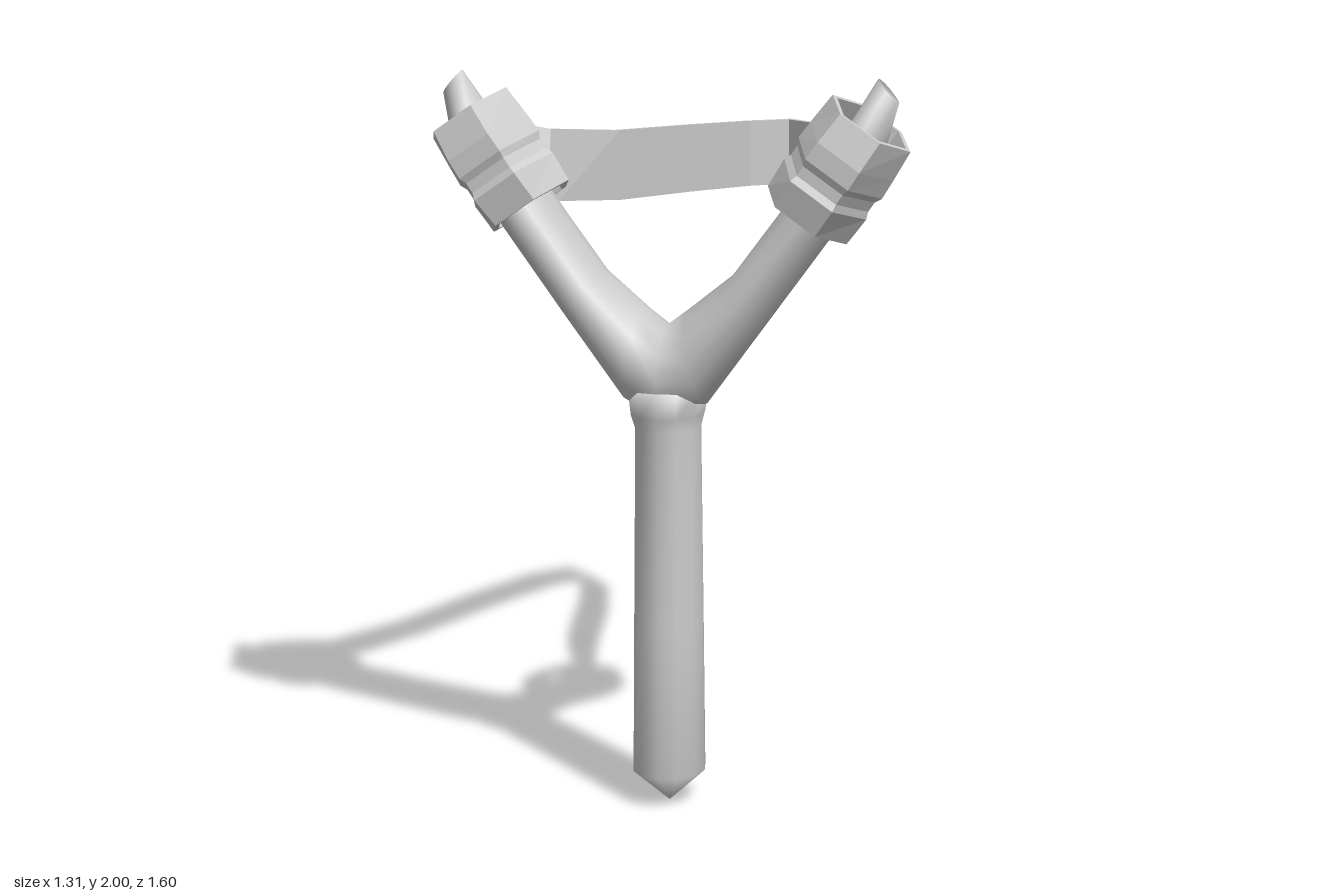
import * as THREE from 'three';

const ZC = 0.635; // depth of the frame

// Skin a list of rings (arrays of Vector3, equal length); optionally close the ends
function loft(rings, { capped = false, loop = false } = {}) {
  const n = rings[0].length, pos = [], idx = [];
  rings.forEach(r => r.forEach(p => pos.push(p.x, p.y, p.z)));
  const last = loop ? rings.length : rings.length - 1;
  for (let i = 0; i < last; i++) {
    for (let j = 0; j < n; j++) {
      const k = (j + 1) % n, m = (i + 1) % rings.length;
      const a = i * n + j, b = i * n + k, c = m * n + j, d = m * n + k;
      idx.push(a, c, b, b, c, d);
    }
  }
  if (capped) {
    const e = (rings.length - 1) * n;
    for (let j = 1; j < n - 1; j++) idx.push(0, j, j + 1, e, e + j + 1, e + j);
  }
  const g = new THREE.BufferGeometry();
  g.setAttribute('position', new THREE.Float32BufferAttribute(pos, 3));
  g.setIndex(idx);
  g.computeVertexNormals();
  return g;
}

// Elliptical ring around (cx, cy) with in-plane radius vector (ux, uy) and depth radius h
function ring(cx, cy, ux, uy, h, n) {
  return Array.from({ length: n }, (_, j) => {
    const t = (j / n) * Math.PI * 2, c = Math.cos(t);
    return new THREE.Vector3(cx + ux * c, cy + uy * c, ZC + h * Math.sin(t));
  });
}

function addMesh(group, name, geometry, options = {}) {
  const mesh = new THREE.Mesh(geometry, new THREE.MeshStandardMaterial({ color: 0xcccccc, ...options }));
  mesh.name = name;
  group.add(mesh);
}

export function createModel() {
  const model = new THREE.Group();
  model.name = 'slingshot';

  // Handle: y, half width, half depth
  const handle = [
    [0, 0.002, 0.002], [0.09, 0.1, 0.117], [0.5, 0.096, 0.112], [1.05, 0.09, 0.105],
    [1.09, 0.1, 0.13], [1.16, 0.11, 0.13],
  ].map(([y, w, h]) => ring(0, y, w, 0, h, 12));
  addMesh(model, 'handle', loft(handle, { capped: true }));

  // Fork: one skin from tip to tip; each row is inner x, y, outer x, y, half depth
  const arm = [
    [0, 1.33, 0, 1.06, 0.13],
    [0.06, 1.375, 0.11, 1.12, 0.13],
    [0.18, 1.47, 0.275, 1.345, 0.13],
    [0.3, 1.63, 0.44, 1.57, 0.13],
    [0.44, 1.83, 0.57, 1.75, 0.125],
    [0.495, 1.88, 0.6, 1.85, 0.1],
    [0.57, 2.0, 0.625, 1.935, 0.03],
  ];
  const armRing = s => ([ix, iy, ox, oy, h]) =>
    ring(s * (ix + ox) / 2, (iy + oy) / 2, s * (ox - ix) / 2, (oy - iy) / 2, h, 12);
  const fork = [...arm.slice(1).reverse().map(armRing(-1)), ...arm.map(armRing(1))];
  addMesh(model, 'fork', loft(fork, { capped: true }));

  // Six-sided wraps on the arms: distance along arm, half width, half depth
  const wrap = [
    [-0.15, 0.13, 0.143], [-0.065, 0.135, 0.165], [-0.045, 0.127, 0.156], [-0.015, 0.127, 0.156],
    [0.005, 0.137, 0.165], [0.06, 0.134, 0.165], [0.15, 0.127, 0.143],
    [0.15, 0.112, 0.128], [-0.15, 0.112, 0.128],
  ];
  for (const s of [1, -1]) {
    const rings = wrap.map(([a, w, h]) =>
      ring(s * (0.467 + 0.57 * a), 1.76 + 0.82 * a, s * 0.82 * w, -0.57 * w, h / 0.866, 6));
    if (s < 0) rings.reverse();
    addMesh(model, s > 0 ? 'leftWrap' : 'rightWrap', loft(rings, { loop: true }), { flatShading: true });
  }

  // Elastic band: x, y, z and sideways lean of the strip
  const half = [
    [0, 1.645, -0.785, 0], [0.1, 1.65, -0.655, 0], [0.2, 1.668, -0.325, 0], [0.3, 1.69, 0.09, 0],
    [0.4, 1.72, 0.385, 0.01], [0.45, 1.74, 0.43, 0.045], [0.49, 1.765, 0.5, 0.06],
  ];
  const path = [...half.slice(1).reverse().map(([x, y, z, l]) => [-x, y, z, -l]), ...half];
  const band = path.map(([x, y, z, lean], i) => {
    const p = path[Math.max(i - 1, 0)], q = path[Math.min(i + 1, path.length - 1)];
    const t = new THREE.Vector2(q[0] - p[0], q[2] - p[2]).normalize();
    const k = x === 0 ? 0.015 : 0.008;
    const nx = t.y * k, nz = -t.x * k;
    const corner = (side, up) =>
      new THREE.Vector3(x + side * nx + up * lean, y + up * 0.1, z + side * nz);
    return [corner(1, -1), corner(1, 1), corner(-1, 1), corner(-1, -1)];
  });
  addMesh(model, 'elasticBand', loft(band, { capped: true }), { flatShading: true, side: THREE.DoubleSide });

  return model;
}
